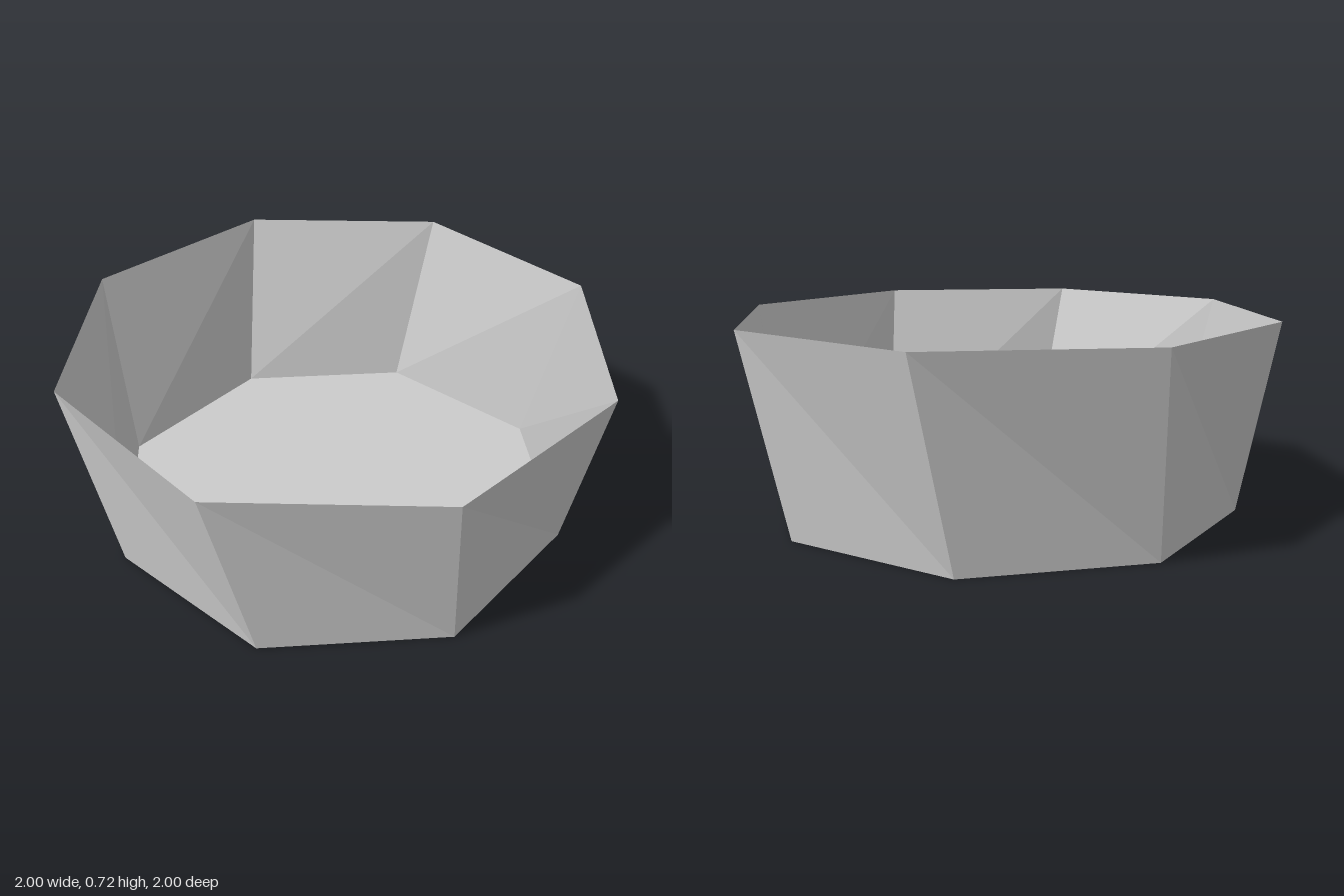
import * as THREE from 'three';

const SIDES = 8;
const HEIGHT = 0.716;
const BASE_RADIUS = 0.873;
const RIM_RADIUS = 1.003;
const TWIST = THREE.MathUtils.degToRad(6); // rim turned against the base

// Corner k of an octagonal ring
function corner(k, radius, y, turn) {
  const a = (k / SIDES) * Math.PI * 2 + turn;
  return [radius * Math.cos(a), y, radius * Math.sin(a)];
}
const base = (k) => corner(k, BASE_RADIUS, 0, 0);
const rim = (k) => corner(k, RIM_RADIUS, HEIGHT, TWIST);

function buildPart(name, positions, material) {
  const geometry = new THREE.BufferGeometry();
  geometry.setAttribute('position', new THREE.Float32BufferAttribute(positions, 3));
  geometry.computeVertexNormals();
  const mesh = new THREE.Mesh(geometry, material);
  mesh.name = name;
  return mesh;
}

export function createModel() {
  const material = new THREE.MeshStandardMaterial({
    color: 0xcccccc,
    flatShading: true,
    side: THREE.DoubleSide,
  });

  const wall = [];
  const floor = [];
  for (let k = 0; k < SIDES; k++) {
    // Twisted wall panel, split along its long diagonal
    wall.push(...base(k), ...rim(k), ...rim(k + 1));
    wall.push(...base(k), ...rim(k + 1), ...base(k + 1));
    // Floor wedge, facing down
    floor.push(0, 0, 0, ...base(k), ...base(k + 1));
  }

  const bowl = new THREE.Group();
  bowl.name = 'bowl';
  bowl.add(buildPart('wall', wall, material), buildPart('floor', floor, material));
  return bowl;
}
